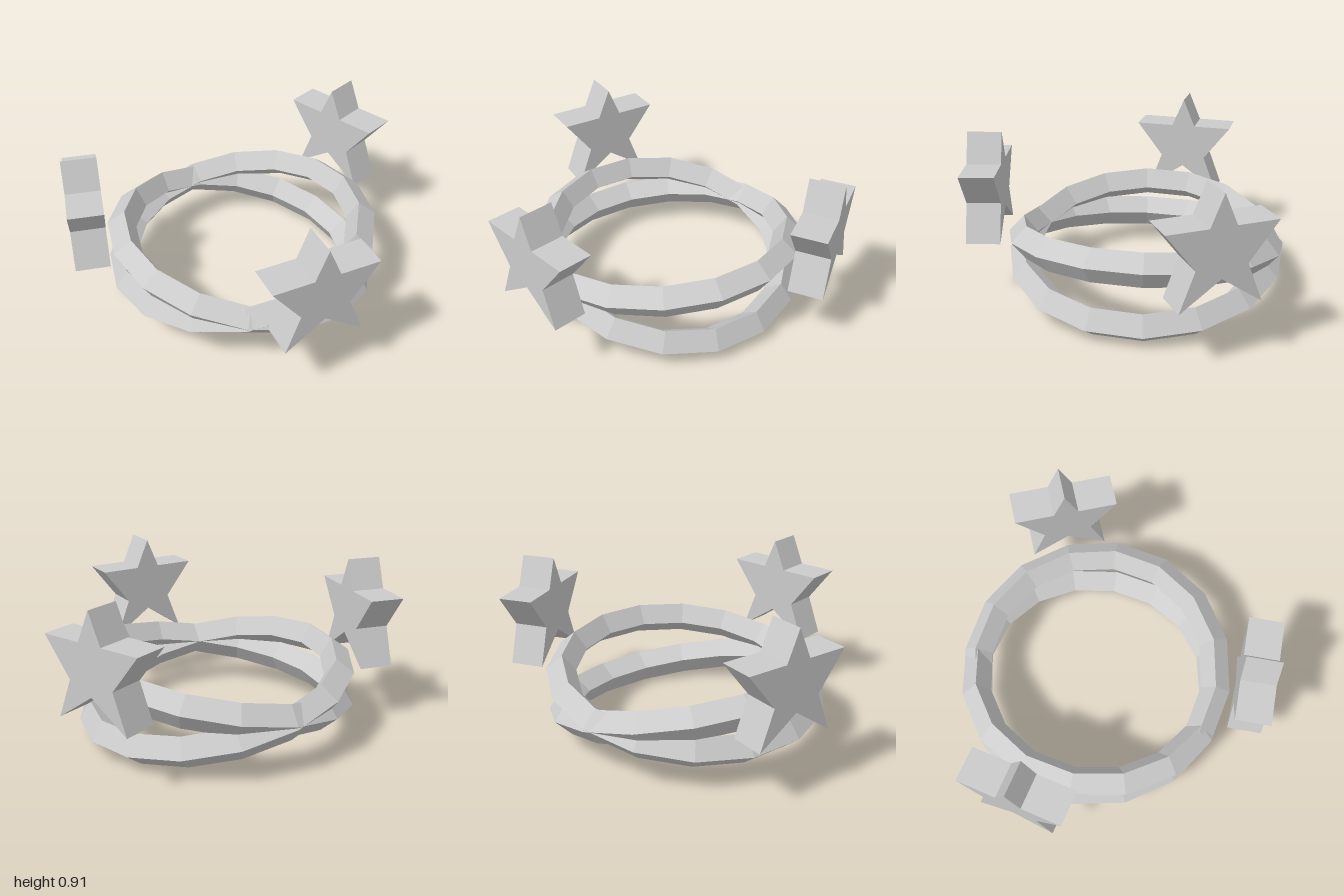
import * as THREE from 'three';

const material = new THREE.MeshStandardMaterial({ color: 0xcccccc, flatShading: true });
const deg = THREE.MathUtils.degToRad;

// Diamond-section ring lying flat, slightly taller than wide in section
function ringGeometry() {
  return new THREE.TorusGeometry(0.694, 0.082, 4, 16).scale(1, 1, 1.1).rotateX(Math.PI / 2);
}

// Wide-armed five-point star, thick along z and centred in depth
function starGeometry() {
  const depth = 0.19;
  const right = [[0.07, 0.74], [0.29, 0.74], [0.135, 0.54], [0.215, 0.33]];
  const outline = [
    [0, 0.905],
    ...right.map(([x, y]) => [-x, y]),
    [0, 0.48],
    ...right.slice().reverse(),
  ];
  const shape = new THREE.Shape(outline.map(([x, y]) => new THREE.Vector2(x, y)));
  return new THREE.ExtrudeGeometry(shape, { depth, bevelEnabled: false }).translate(0, 0, -depth / 2);
}

export function createModel() {
  const model = new THREE.Group();
  model.name = 'starRings';

  function add(name, geometry, position, rotation) {
    const mesh = new THREE.Mesh(geometry, material);
    mesh.name = name;
    mesh.position.set(...position);
    mesh.rotation.set(...rotation.map(deg));
    model.add(mesh);
  }

  // Two interlocking rings tilted opposite ways
  const ring = ringGeometry();
  add('upperRing', ring, [-0.017, 0.3, -0.105], [-1.85, 0, 9.3]);
  add('lowerRing', ring, [-0.018, 0.24, -0.105], [1.5, 0, -12.8]);

  // Three upright stars facing outward around the rings
  const star = starGeometry();
  add('frontStar', star, [-0.015, 0, 0.78], [0, 0, 0]);
  add('leftStar', star, [0.8, 0, -0.44], [0, 112.5, 0]);
  add('rightStar', star, [-0.843, 0, -0.343], [0, -102.7, 0]);

  return model;
}
